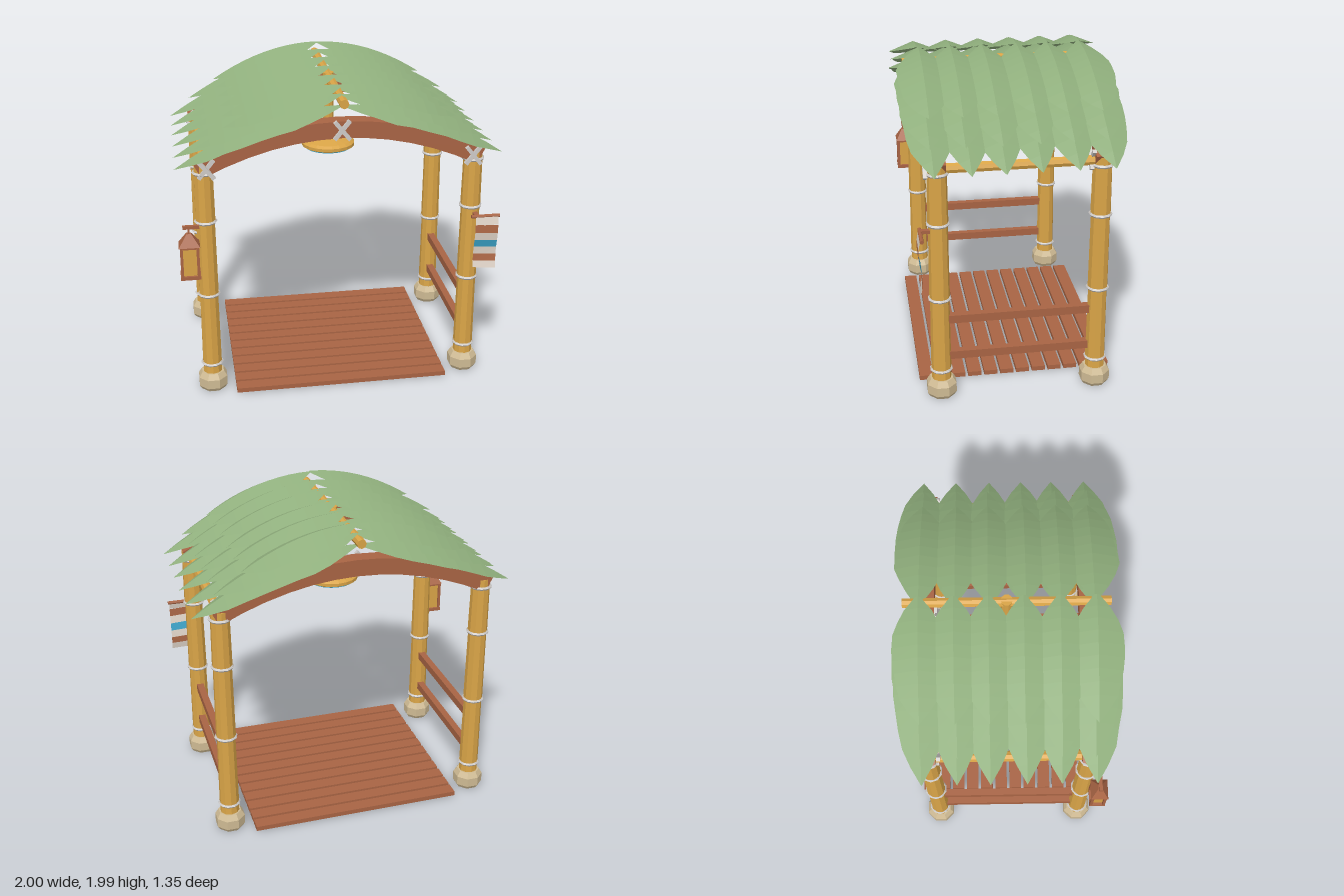
import * as THREE from 'three';

const mat = (name, color, extra = {}) => {
  const m = new THREE.MeshStandardMaterial({ color, flatShading: true, ...extra });
  m.name = name;
  return m;
};

export function createModel() {
  const bamboo = mat('bamboo', 0xd9a447);
  const wood = mat('red wood', 0xa86444);
  const leaf = mat('palm leaf', 0x8fae7c, { side: THREE.DoubleSide });
  const rope = mat('rope', 0xcfcbc8);
  const stone = mat('stone', 0xcfbb94);
  const cream = mat('cream cloth', 0xe2d6ca, { side: THREE.DoubleSide });
  const blue = mat('blue', 0x3ba3c8, { side: THREE.DoubleSide });
  const rust = mat('rust cloth', 0xb06a48, { side: THREE.DoubleSide });
  const darkBlue = mat('dark blue', 0x2a6f92);

  const model = new THREE.Group();
  const add = (name, geo, material, x = 0, y = 0, z = 0, parent = model) => {
    const m = new THREE.Mesh(geo, material);
    m.name = name;
    m.position.set(x, y, z);
    parent.add(m);
    return m;
  };
  const box = (name, w, h, d, material, x, y, z, parent) =>
    add(name, new THREE.BoxGeometry(w, h, d), material, x, y, z, parent);
  const V2 = (p) => p.map(([x, y]) => new THREE.Vector2(x, y));
  const ring = (name, r, x, y, z, tube = 0.011) => {
    const t = add(name, new THREE.TorusGeometry(r, tube, 5, 10), rope, x, y, z);
    t.rotation.x = Math.PI / 2;
  };

  // Floor slats
  for (let i = 0; i < 12; i++)
    box('floorSlat', 1.36, 0.03, 0.084, wood, 0, 0.02, (i - 5.5) * 0.103);

  // Posts with stone feet and rope bindings
  const foot = V2([[0, 0], [0.08, 0], [0.096, 0.025], [0.096, 0.085], [0.074, 0.12], [0, 0.12]]);
  for (const x of [-0.825, 0.825])
    for (const z of [-0.483, 0.483]) {
      add('stoneFoot', new THREE.LatheGeometry(foot, 8, Math.PI / 8), stone, x, 0, z);
      const joints = [0.1, 0.18, 0.67, 1.16, 1.53];
      for (let i = 0; i < 4; i++) {
        const h = joints[i + 1] - joints[i];
        add('post', new THREE.CylinderGeometry(0.058, 0.062, h, 10), bamboo, x, joints[i] + h / 2, z);
      }
      for (const y of [0.18, 0.67, 1.16, 1.475]) ring('postBinding', 0.061, x, y, z);
    }

  // Side rails and eave poles
  for (const x of [-0.825, 0.825]) {
    for (const y of [0.275, 0.525]) box('sideRail', 0.045, 0.052, 0.88, wood, x, y, 0);
    add('eavePole', new THREE.CylinderGeometry(0.031, 0.031, 0.96, 8), bamboo, x, 1.5, 0).rotation.x = Math.PI / 2;
  }

  // Arched beams with crossed lashings on their front faces
  const top = [], under = [];
  for (let i = 0; i <= 12; i++) {
    const u = i / 6 - 1;
    const x = u * 0.86, y = 1.71 - 0.215 * u * u;
    const n = new THREE.Vector2(0.5 * u, 1).normalize().multiplyScalar(0.052);
    top.push(new THREE.Vector2(x + n.x, y + n.y));
    under.unshift(new THREE.Vector2(x - n.x, y - n.y));
  }
  const archGeo = new THREE.ExtrudeGeometry(new THREE.Shape([...top, ...under]), { depth: 0.1, bevelEnabled: false });
  for (const z of [-0.483, 0.483]) {
    add('archBeam', archGeo, wood, 0, 0, z - 0.05);
    for (const [x, y] of [[-0.81, 1.51], [0, 1.71], [0.81, 1.51]])
      for (const s of [-1, 1])
        box('lashing', 0.024, 0.145, 0.024, rope, x, y, z + 0.062 + s * 0.006).rotation.z = s * 0.68;
  }

  // Ridge pole
  add('ridgePole', new THREE.CylinderGeometry(0.029, 0.029, 1.22, 8), bamboo, 0, 1.89, 0).rotation.x = Math.PI / 2;

  // Folded palm leaves: three overlapping layers on each slope
  let seed = 7;
  const rand = () => ((seed = (seed * 16807) % 2147483647) / 2147483647) - 0.5;
  const widths = [0.015, 0.075, 0.125, 0.148, 0.156, 0.15, 0.147, 0.125, 0.112, 0.06, 0];
  const leafGeo = (side, len, y0, y1) => {
    const pos = [], idx = [];
    widths.forEach((w, i) => {
      const t = i / (widths.length - 1);
      const y = y0 + (y1 - y0) * t * t;
      const x = side * len * t;
      const hw = w * (i % 2 ? 1.03 : 0.97) * (1 + rand() * 0.06);
      pos.push(x, y - hw * 0.4, -hw, x, y, 0, x, y - hw * 0.4, hw);
      if (i) for (const k of [0, 1]) {
        const a = (i - 1) * 3 + k, b = a + 3;
        if (side > 0) idx.push(a, a + 1, b, a + 1, b + 1, b);
        else idx.push(a, b, a + 1, a + 1, b, b + 1);
      }
    });
    const g = new THREE.BufferGeometry();
    g.setAttribute('position', new THREE.Float32BufferAttribute(pos, 3));
    g.setIndex(idx);
    g.computeVertexNormals();
    return g;
  };
  for (const [len, y0, y1] of [[0.7, 1.985, 1.755], [0.87, 1.925, 1.63], [1, 1.86, 1.51]])
    for (const side of [-1, 1])
      for (let i = 0; i < 6; i++)
        add('roofLeaf', leafGeo(side, len, y0, y1), leaf, 0, 0, (i - 2.5) * 0.206 + rand() * 0.02);

  // Hanging shower head
  add('showerPipe', new THREE.CylinderGeometry(0.036, 0.036, 0.43, 10), bamboo, 0, 1.7, 0);
  ring('pipeBinding', 0.037, 0, 1.59, 0, 0.012);
  const head = V2([[0, 1.43], [0.155, 1.43], [0.17, 1.438], [0.17, 1.458], [0.15, 1.472], [0.06, 1.49], [0, 1.495]]);
  add('showerHead', new THREE.LatheGeometry(head, 20), bamboo);
  add('showerFace', new THREE.CylinderGeometry(0.15, 0.15, 0.008, 20), blue, 0, 1.428, 0);
  for (const [n, r] of [[1, 0], [6, 0.055], [12, 0.11]])
    for (let i = 0; i < n; i++) {
      const a = (i / n) * Math.PI * 2;
      add('nozzle', new THREE.CylinderGeometry(0.007, 0.007, 0.006, 6), darkBlue, r * Math.cos(a), 1.422, r * Math.sin(a));
    }

  // Lantern on the right front post
  const lantern = new THREE.Group();
  lantern.name = 'lantern';
  lantern.position.set(-0.932, 0, 0.567);
  model.add(lantern);
  box('lanternBracket', 0.1, 0.02, 0.022, wood, 0.015, 1.16, 0, lantern);
  box('lanternHook', 0.012, 0.06, 0.012, wood, 0, 1.13, 0, lantern);
  box('lanternBase', 0.122, 0.022, 0.1, wood, 0, 0.843, 0, lantern);
  box('lanternTopPlate', 0.115, 0.016, 0.095, wood, 0, 1.04, 0, lantern);
  box('lanternGlow', 0.085, 0.18, 0.07, bamboo, 0, 0.943, 0, lantern);
  for (const x of [-0.049, 0.049])
    for (const z of [-0.04, 0.04]) box('lanternCorner', 0.017, 0.19, 0.017, wood, x, 0.943, z, lantern);
  const cap = new THREE.CylinderGeometry(0.02, 0.09, 0.075, 4);
  cap.rotateY(Math.PI / 4);
  cap.scale(1, 1, 0.85);
  add('lanternCap', cap, wood, 0, 1.083, 0, lantern);

  // Striped banner on the left front post
  const rod = add('bannerRod', new THREE.CylinderGeometry(0.012, 0.012, 0.18, 8), wood, 0.895, 1.12, 0.59);
  rod.rotation.z = Math.PI / 2;
  box('bannerPeg', 0.03, 0.02, 0.06, wood, 0.84, 1.12, 0.56);
  const rows = [1.12, 1.066, 1.013, 0.961, 0.911, 0.861, 0.815, 0.77];
  const wave = (y, x) => 0.6 + 0.012 * Math.sin((1.12 - y) * 18) + (x - 0.9) * (1.12 - y) * 0.15;
  [cream, rust, cream, blue, cream, rust, cream].forEach((m, i) => {
    const g = new THREE.PlaneGeometry(0.145, 1, 2, 1);
    const p = g.attributes.position;
    for (let k = 0; k < p.count; k++) {
      const x = p.getX(k) + 0.902;
      const y = rows[p.getY(k) > 0 ? i : i + 1] - (x - 0.902) * (i ? 0.06 : 0);
      p.setXYZ(k, x, y, wave(y, x));
    }
    g.computeVertexNormals();
    add('bannerStripe', g, m);
  });

  return model;
}
